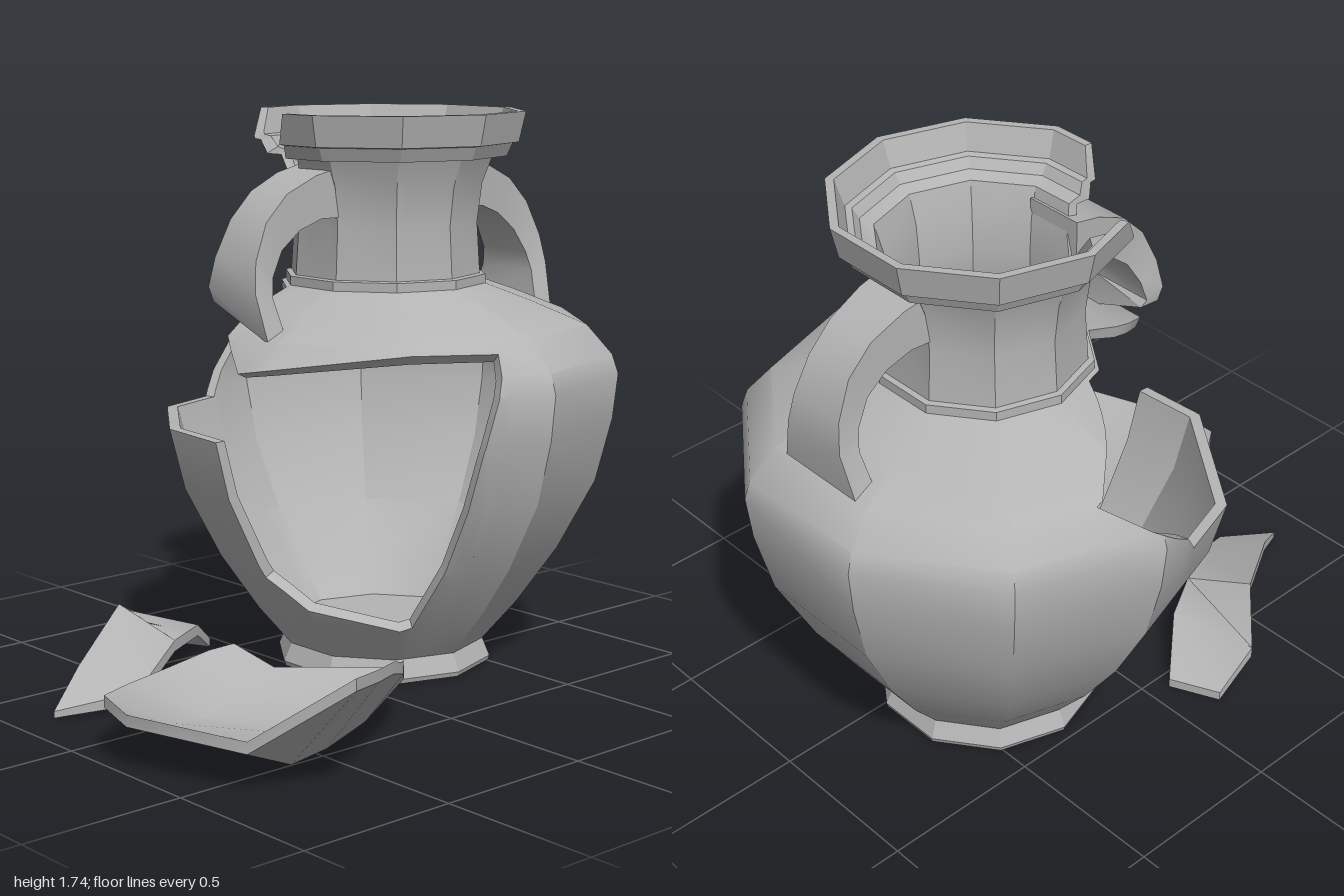
import * as THREE from 'three';
import { toCreasedNormals } from 'three/addons/utils/BufferGeometryUtils.js';

const SIDES = 10, CX = -0.125, CZ = -0.306, BOTTOM = 0.07, TOP = 1.74, SPLIT = 1.21;

// Wall profile: outer radius, outer height, inner radius, inner height
const PROFILE = [
  [0.32, BOTTOM, 0.30, 0.11], [0.43, 0.2, 0.395, 0.22], [0.555, 0.38, 0.52, 0.395],
  [0.67, 0.6, 0.635, 0.61], [0.72, 0.8, 0.685, 0.8], [0.735, 0.94, 0.70, 0.94],
  [0.715, 1.0, 0.68, 0.985], [0.635, 1.09, 0.615, 1.06], [0.46, 1.16, 0.45, 1.125],
  [0.318, SPLIT, 0.285, 1.185], [0.318, 1.238, 0.28, 1.24], [0.30, 1.241, 0.275, 1.25],
  [0.29, 1.4, 0.27, 1.4], [0.305, 1.52, 0.28, 1.52], [0.335, 1.6, 0.305, 1.61],
  [0.38, 1.603, 0.345, 1.625], [0.398, 1.643, 0.365, 1.655], [0.417, 1.646, 0.385, 1.66],
  [0.438, TOP, 0.412, TOP],
];

// Break lines as [position round the vase in sides, height]
const HOLE_LOW = [[0.32, 1.06], [0.4, 0.95], [0.49, 0.78], [0.63, 0.4], [0.85, 0.2], [1, 0.19], [2, 0.25],
  [2.46, 0.34], [2.5, 0.78], [3, 0.79], [4, 0.78], [4.51, 0.78], [4.65, 0.86], [5, 0.98], [5.36, 1.08]];
const HOLE_HIGH = [[0.32, 1.06], [1, 1.07], [2, 1.02], [2.26, 1.0], [3, 1.205], [4.3, 1.205], [5, 1.145], [5.36, 1.08]];
const NOTCH = [[2.5, TOP], [2.72, 1.6], [3, 1.42], [3.5, 1.54], [3.92, 1.63], [4.28, TOP]];

function along(line, u) {
  for (let i = 1; i < line.length; i++) {
    const [a, ya] = line[i - 1], [b, yb] = line[i];
    if (u <= b) return ya + (yb - ya) * (u - a) / (b - a);
  }
  return line.at(-1)[1];
}

function makeGeometry(triangles) {
  const geometry = new THREE.BufferGeometry();
  geometry.setAttribute('position', new THREE.Float32BufferAttribute(triangles.flatMap((p) => p.toArray()), 3));
  return toCreasedNormals(geometry, 0.52);
}

// Keep the part of a polygon where side(point) >= 0
function clip(polygon, side) {
  const out = [];
  polygon.forEach((a, i) => {
    const b = polygon[(i + 1) % polygon.length], da = side(a), db = side(b);
    if (da >= 0) out.push(a);
    if (da * db < 0) out.push([a[0] + (b[0] - a[0]) * da / (da - db), a[1] + (b[1] - a[1]) * da / (da - db)]);
  });
  return out;
}

function wallPoint(u, y, row, inner) {
  const p = PROFILE[row], q = PROFILE[row + 1], k = inner ? 2 : 0;
  const f = (y - p[1]) / (q[1] - p[1]);
  const r = p[k] + (q[k] - p[k]) * f, h = p[k + 1] + (q[k + 1] - p[k + 1]) * f;
  const i = Math.floor(u), s = u - i, a = i * 2 * Math.PI / SIDES, b = (i + 1) * 2 * Math.PI / SIDES;
  return new THREE.Vector3(
    r * (Math.cos(a) * (1 - s) + Math.cos(b) * s), h, r * (Math.sin(a) * (1 - s) + Math.sin(b) * s));
}

// Double-walled shell with the hole and notch cut out, closed along every break
function vaseShell() {
  const stops = new Set([...Array(SIDES + 1).keys()]);
  [HOLE_LOW, HOLE_HIGH, NOTCH].forEach((line) => line.forEach(([u]) => stops.add(u)));
  const us = [...stops].sort((a, b) => a - b), tris = [];
  const inside = (line, u) => u > line[0][0] && u < line.at(-1)[0];
  for (let i = 0; i + 1 < us.length; i++) {
    const u0 = us[i], u1 = us[i + 1], mid = (u0 + u1) / 2;
    const straight = (y0, y1) => (u) => y0 + (y1 - y0) * (u - u0) / (u1 - u0);
    const cut = (line) => straight(along(line, u0), along(line, u1));
    const floor = straight(BOTTOM, BOTTOM);
    const rim = inside(NOTCH, mid) ? cut(NOTCH) : straight(TOP, TOP);
    const spans = inside(HOLE_LOW, mid) ? [[floor, cut(HOLE_LOW)], [cut(HOLE_HIGH), rim]] : [[floor, rim]];
    for (const [low, high] of spans) for (let row = 0; row + 1 < PROFILE.length; row++) {
      const y0 = PROFILE[row][1], y1 = PROFILE[row + 1][1];
      // The last sliver of side is kept inside its own facet
      const at = ([u, y], inner) => wallPoint(Math.min(u, u1 - 1e-6), y, row, inner);
      let poly = [[u0, y0], [u1, y0], [u1, y1], [u0, y1]];
      poly = clip(poly, ([u, y]) => y - low(u));
      poly = clip(poly, ([u, y]) => high(u) - y);
      if (poly.length < 3) continue;
      const out = poly.map((p) => at(p, false)), inn = poly.map((p) => at(p, true));
      for (let k = 1; k + 1 < poly.length; k++) {
        tris.push(out[0], out[k + 1], out[k], inn[0], inn[k], inn[k + 1]);
      }
      poly.forEach((a, k) => {
        const n = (k + 1) % poly.length, b = poly[n];
        const onBreak = [low, high].some((f) => Math.abs(a[1] - f(a[0])) < 1e-7 && Math.abs(b[1] - f(b[0])) < 1e-7);
        if (onBreak) tris.push(out[k], out[n], inn[n], out[k], inn[n], inn[k]);
      });
    }
  }
  return makeGeometry(tris);
}

// Solid through a row of equal closed sections, capped at both ends
function loft(sections) {
  const n = sections[0].length, tris = [];
  const quad = (a, b, c, d) => tris.push(a, b, c, a, c, d);
  for (let i = 0; i + 1 < sections.length; i++) for (let k = 0; k < n; k++) {
    const m = (k + 1) % n;
    quad(sections[i][k], sections[i][m], sections[i + 1][m], sections[i + 1][k]);
  }
  const first = sections[0], last = sections.at(-1);
  for (let k = 0; k < n / 2 - 1; k++) {
    quad(first[k], first[n - 1 - k], first[n - 2 - k], first[k + 1]);
    quad(last[k], last[k + 1], last[n - 2 - k], last[n - 1 - k]);
  }
  let volume = 0;
  for (let i = 0; i < tris.length; i += 3) volume += tris[i].dot(tris[i + 1].clone().cross(tris[i + 2]));
  return makeGeometry(volume < 0 ? tris.reverse() : tris);
}

// Strap handle; dir is +1 at the front, -1 at the back
function handle(dir) {
  // outer reach, outer height, inner reach, inner height, half width
  const steps = [[0.27, 1.58, 0.27, 1.43, 0.095], [0.36, 1.56, 0.34, 1.43, 0.09], [0.47, 1.51, 0.42, 1.40, 0.083],
    [0.55, 1.43, 0.49, 1.345, 0.083], [0.60, 1.32, 0.535, 1.27, 0.095], [0.615, 1.23, 0.548, 1.21, 0.11],
    [0.60, 1.085, 0.53, 1.09, 0.15]];
  return loft(steps.map(([ro, yo, ri, yi, w], i) => {
    // The front foot is snapped off obliquely
    const snapped = dir > 0 && i === steps.length - 1;
    const lift = snapped ? 0.1 : 0, wl = snapped ? 0.105 : w;
    return [new THREE.Vector3(-wl, yo + lift, dir * ro), new THREE.Vector3(w, yo, dir * ro),
      new THREE.Vector3(w, yi, dir * ri), new THREE.Vector3(-wl, yi + lift, dir * ri)];
  }));
}

// Loose fragment: rows of points on one face, thickened vertically
function shard(rows, thickness) {
  return loft(rows.map((row) => {
    const face = row.map((p) => new THREE.Vector3(...p));
    const other = face.map((p) => new THREE.Vector3(p.x, Math.max(0, p.y + thickness), p.z));
    return [...face, ...other.reverse()];
  }));
}

export function createModel() {
  const clay = new THREE.MeshStandardMaterial({ color: 0xb4b4b4 });
  clay.name = 'grey clay';
  const model = new THREE.Group();
  model.name = 'brokenVase';
  const vase = new THREE.Group();
  vase.name = 'vase';
  vase.position.set(CX, 0, CZ);
  model.add(vase);
  const add = (parent, name, geometry, y = 0) => {
    const mesh = new THREE.Mesh(geometry, clay);
    mesh.name = name;
    mesh.position.y = y;
    parent.add(mesh);
  };
  const drum = (top, bottom, height) => toCreasedNormals(
    new THREE.CylinderGeometry(top, bottom, height, SIDES, 1, false, Math.PI / 2), 0.52);

  add(vase, 'vaseShell', vaseShell());
  add(vase, 'foot', drum(0.32, 0.345, 0.06), 0.045);
  add(vase, 'footRing', drum(0.345, 0.34, 0.015), 0.0075);
  add(vase, 'innerFloor', drum(0.303, 0.29, 0.05), 0.09);
  add(vase, 'frontHandle', handle(1));
  add(vase, 'backHandle', handle(-1));

  // Large fragment lying hollow side up
  add(model, 'largeShard', shard([
    [[-0.09, 0.13, 0.34], [-0.11, 0.12, 0.42], [-0.07, 0.11, 0.62], [0, 0.12, 0.8], [0.12, 0.15, 0.97]],
    [[0.05, 0.08, 0.3], [0.07, 0.03, 0.45], [0.13, 0.01, 0.62], [0.19, 0.05, 0.8], [0.25, 0.13, 0.99]],
    [[0.36, 0.1, 0.06], [0.4, 0.02, 0.25], [0.46, 0, 0.45], [0.54, 0.02, 0.65], [0.62, 0.12, 0.87]],
    [[0.4, 0.14, 0.1], [0.56, 0.2, 0.25], [0.66, 0.25, 0.38], [0.76, 0.28, 0.53], [0.85, 0.31, 0.69]],
  ], 0.035));

  // Small bent fragment resting on its ends
  add(model, 'smallShard', shard([
    [[-0.7, 0.03, 0.14], [-0.55, 0.03, 0.07]], [[-0.7, 0.13, 0.28], [-0.42, 0.13, 0.22]],
    [[-0.55, 0.21, 0.43], [-0.33, 0.13, 0.38]], [[-0.36, 0.11, 0.72], [-0.22, 0.08, 0.56]],
    [[-0.275, 0.02, 0.87], [-0.19, 0.05, 0.69]],
  ], -0.035));
  return model;
}
